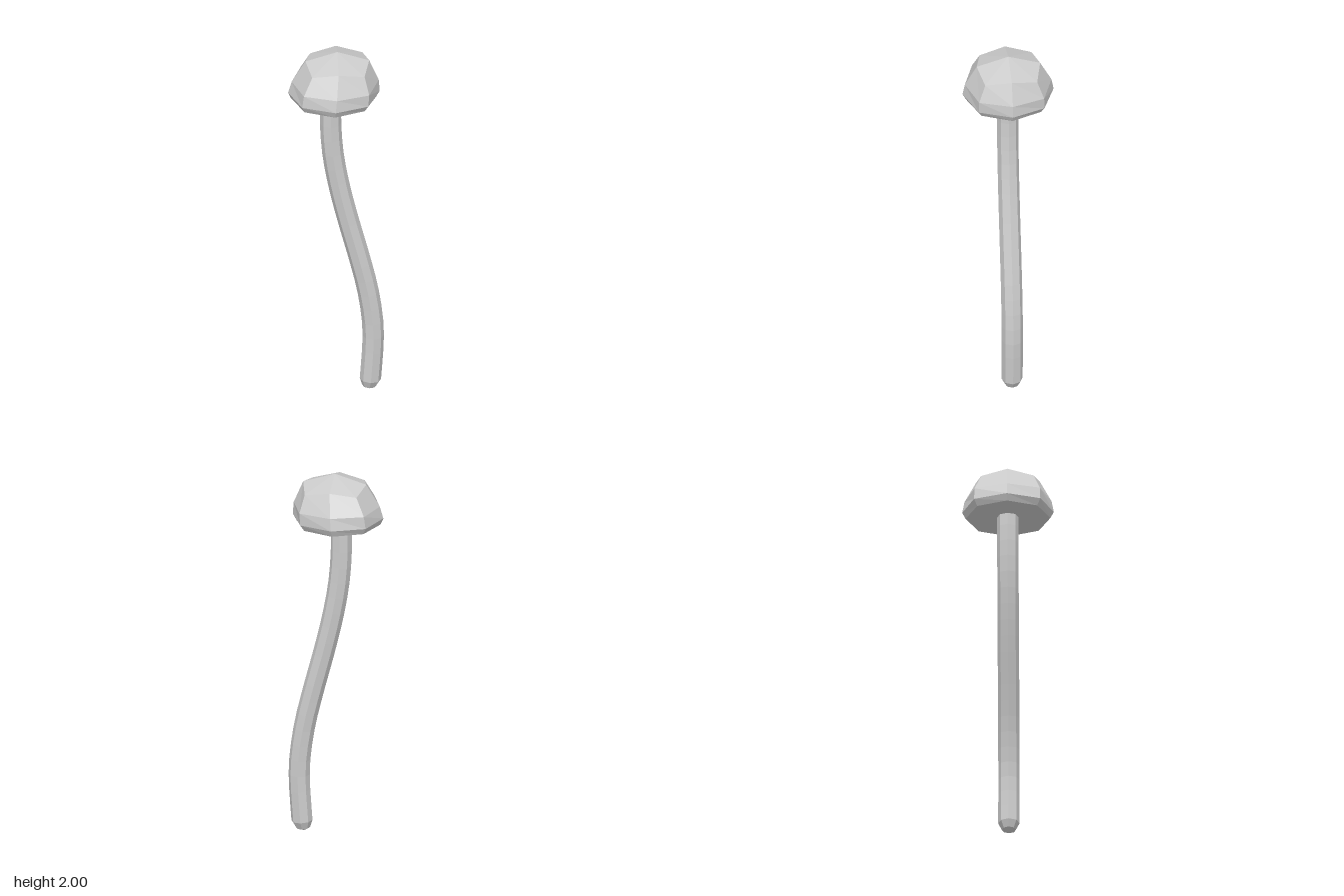
import * as THREE from 'three';

const SIDES = 8;

// Joins rings of SIDES points, listed from bottom to top, closing each end with a fan.
function loft(rings, bottom, top) {
  const pos = [];
  const tri = (...pts) => pts.forEach((p) => pos.push(p.x, p.y, p.z));
  const last = rings[rings.length - 1];
  for (let i = 0; i < SIDES; i++) {
    const j = (i + 1) % SIDES;
    tri(bottom, rings[0][i], rings[0][j]);
    for (let k = 0; k < rings.length - 1; k++) {
      const a = rings[k], b = rings[k + 1];
      tri(a[i], b[i], b[j]);
      tri(a[i], b[j], a[j]);
    }
    tri(last[i], top, last[j]);
  }
  const geo = new THREE.BufferGeometry();
  geo.setAttribute('position', new THREE.Float32BufferAttribute(pos, 3));
  geo.computeVertexNormals();
  return geo;
}

// Eight points around a centre, square to the given axis in the xy plane.
function ring(center, r, axis = new THREE.Vector3(0, 1, 0), diag = 1, diagDrop = 0) {
  const side = new THREE.Vector3(axis.y, -axis.x, 0).normalize();
  const pts = [];
  for (let i = 0; i < SIDES; i++) {
    const a = (i / SIDES) * Math.PI * 2;
    const odd = i % 2 === 1;
    const rr = odd ? r * diag : r;
    const p = center.clone().addScaledVector(side, Math.cos(a) * rr);
    p.z += Math.sin(a) * rr;
    if (odd) p.y -= diagDrop;
    pts.push(p);
  }
  return pts;
}

export function createModel() {
  const group = new THREE.Group();
  const material = new THREE.MeshStandardMaterial({ color: 0xcccccc, flatShading: true });
  const add = (name, geo) => {
    const mesh = new THREE.Mesh(geo, material);
    mesh.name = name;
    group.add(mesh);
  };
  const v = (x, y) => new THREE.Vector3(x, y, 0);

  // Stem: octagonal tube along an S-curve with a blunt rounded foot
  const curve = new THREE.CatmullRomCurve3([
    v(0.177, 0.06), v(0.187, 0.2), v(0.192, 0.3), v(0.187, 0.42), v(0.161, 0.6), v(0.114, 0.8),
    v(0.062, 1.0), v(0.015, 1.2), v(-0.019, 1.4), v(-0.032, 1.6), v(-0.029, 1.75),
  ]);
  const steps = 20;
  const start = curve.getTangentAt(0);
  const stemRings = [ring(v(0.171, 0.02), 0.037, start)];
  for (let i = 0; i <= steps; i++) {
    stemRings.push(ring(curve.getPointAt(i / steps), 0.056, curve.getTangentAt(i / steps)));
  }
  add('stem', loft(stemRings, v(0.168, 0.004), v(-0.029, 1.75)));

  // Cap: faceted dome with a squarish crown, leaning slightly, and a flat underside
  const capRings = [
    ring(v(-0.016, 1.73), 0.222),
    ring(v(-0.014, 1.765), 0.24, undefined, 1.02),
    ring(v(-0.007, 1.83), 0.228, undefined, 1.06),
    ring(v(0.004, 1.948), 0.167, undefined, 1.16, 0.026),
  ];
  add('cap', loft(capRings, v(-0.016, 1.73), v(0.004, 2.0)));

  return group;
}
